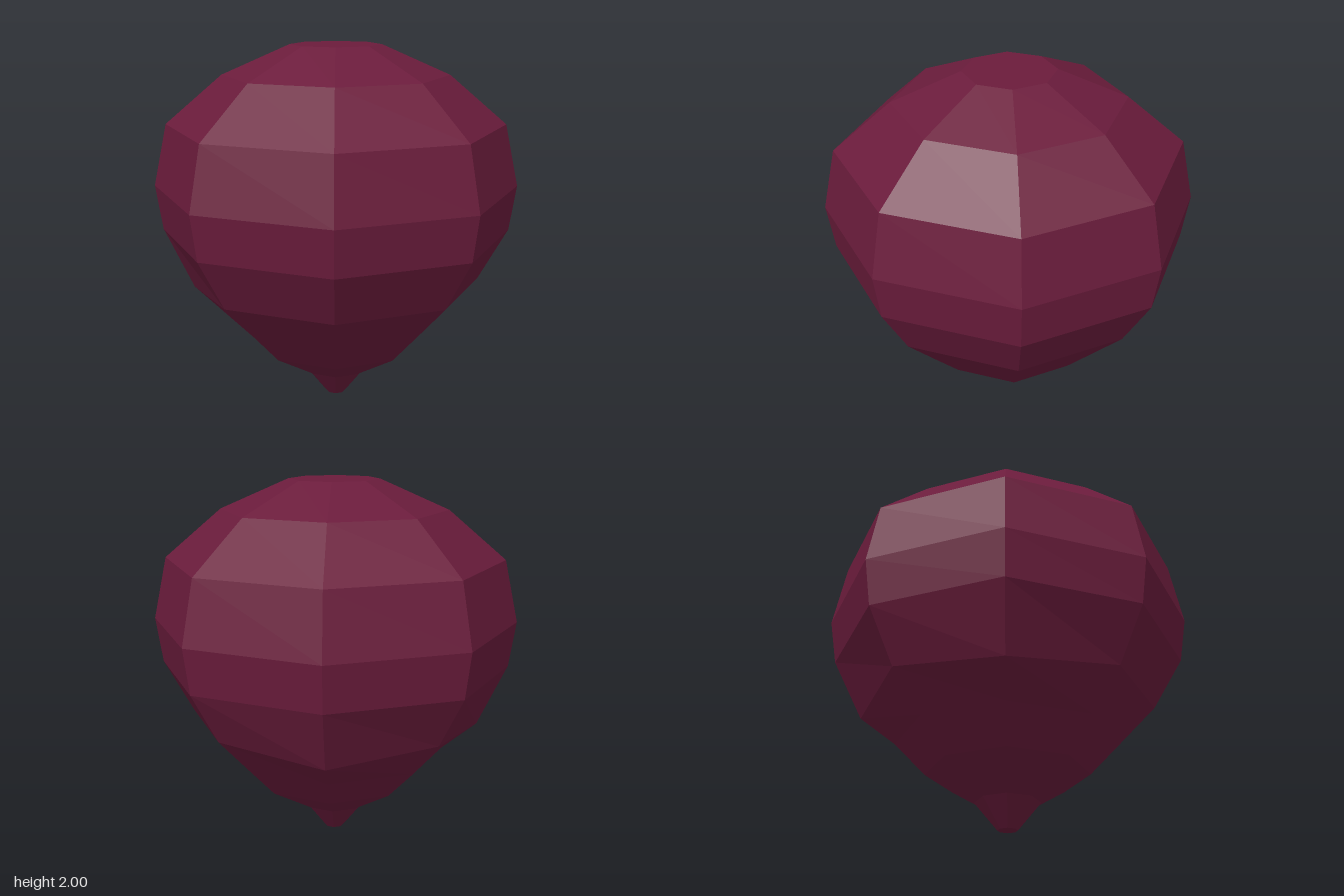
import * as THREE from 'three';

export function createModel() {
  const group = new THREE.Group();
  group.name = 'bulb';

  // half width across flats and height, from the bottom tip to the flat top
  const profile = [
    [0, 0], [0.05, 0], [0.165, 0.15], [0.41, 0.305], [0.565, 0.48], [0.745, 0.685],
    [0.897, 0.97], [0.933, 1.22], [0.865, 1.565], [0.575, 1.835], [0.23, 2], [0, 2],
  ];
  const toCorner = 1 / Math.cos(Math.PI / 8);
  const points = profile.map(([r, y]) => new THREE.Vector2(r * toCorner, y));
  const geometry = new THREE.LatheGeometry(points, 8, Math.PI / 8);

  // two corners of the lower belly ring sag slightly
  const pos = geometry.attributes.position;
  for (let i = 0; i < pos.count; i++) {
    if (Math.abs(pos.getY(i) - 0.685) > 0.001) continue;
    const x = pos.getX(i), z = pos.getZ(i);
    const rightCorner = x < -0.6 && z > 0;
    const backCorner = z < -0.6 && x < 0;
    if (rightCorner || backCorner) pos.setY(i, 0.63);
  }
  geometry.computeVertexNormals();

  const body = new THREE.Mesh(
    geometry,
    new THREE.MeshStandardMaterial({ color: 0x6b1c3c, flatShading: true })
  );
  body.name = 'bulbBody';
  group.add(body);
  return group;
}
